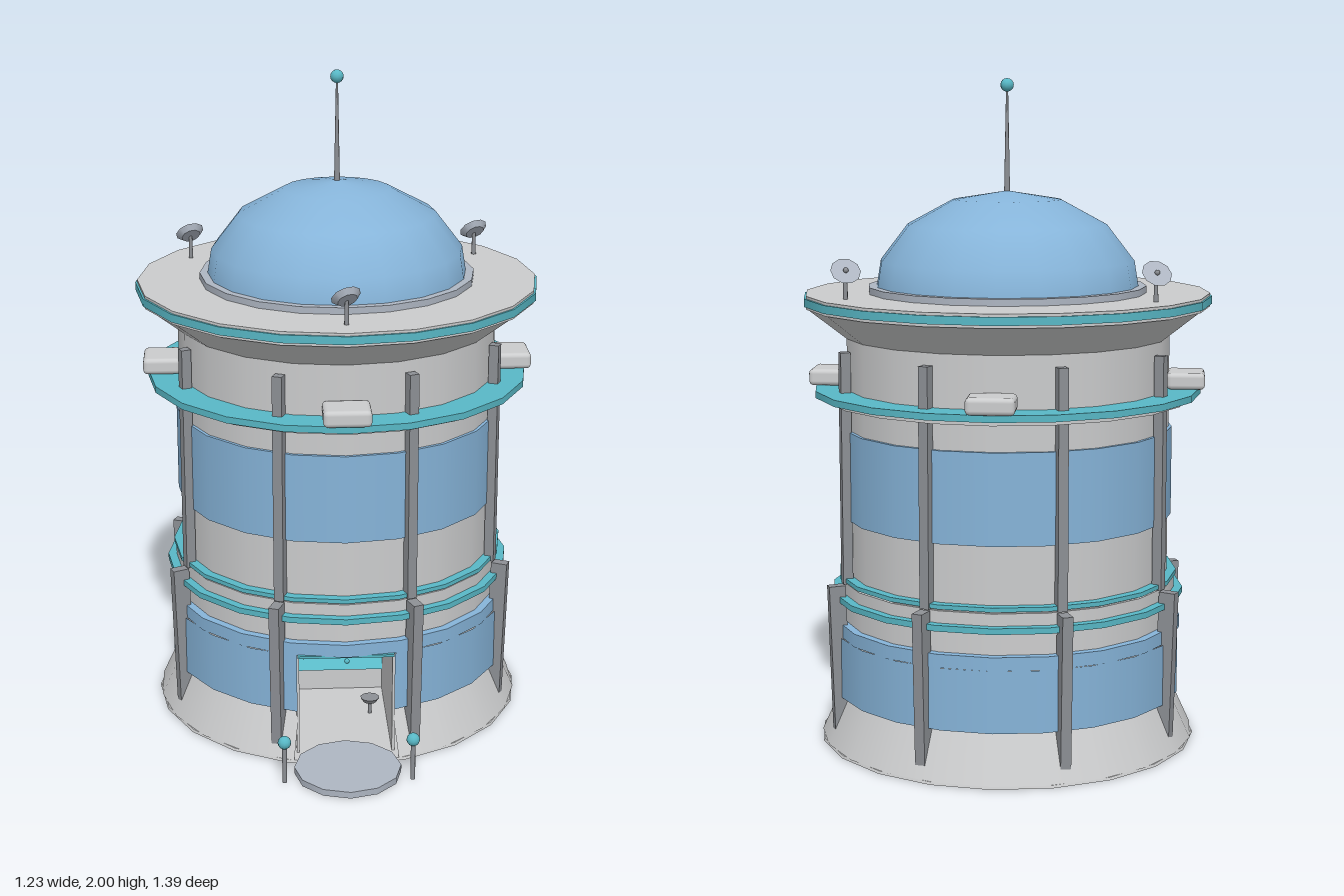
import * as THREE from 'three';
import { RoundedBoxGeometry } from 'three/addons/geometries/RoundedBoxGeometry.js';

const paint = (name, color, side = THREE.FrontSide) => {
  const m = new THREE.MeshStandardMaterial({ color, side });
  m.name = name;
  return m;
};

export function createModel() {
  const shell = paint('light grey shell', 0xcbcccd, THREE.DoubleSide);
  const blue = paint('blue glass', 0x86b4d9, THREE.DoubleSide);
  const teal = paint('teal trim', 0x58b8c6);
  const cyan = paint('bright cyan', 0x6cdcec);
  const metal = paint('dark metal', 0x8d9095);
  const slate = paint('pale slate', 0xaeb6c2);

  const model = new THREE.Group();
  model.name = 'domedTower';
  const tower = new THREE.Group();
  tower.name = 'tower';
  tower.position.z = -0.08;
  model.add(tower);

  const add = (parent, name, geometry, material, x = 0, y = 0, z = 0) => {
    const mesh = new THREE.Mesh(geometry, material);
    mesh.name = name;
    mesh.position.set(x, y, z);
    parent.add(mesh);
    return mesh;
  };
  // Round tier from y0 to y1; a gap leaves the doorway open at the front
  const tier = (name, y0, y1, r0, r1, material, gap = 0) =>
    add(tower, name, new THREE.CylinderGeometry(r1, r0, y1 - y0, 20, 1, gap > 0, gap, Math.PI * 2 - 2 * gap),
      material, 0, (y0 + y1) / 2, 0);
  // Place a child on a pivot turned about the tower axis
  const pivot = (name, angle) => {
    const g = new THREE.Group();
    g.name = name;
    g.rotation.y = angle;
    tower.add(g);
    return g;
  };

  // Walls, with the doorway cut through the lower part
  const door = 0.28, doorTop = 0.335;
  tier('baseDisc', 0, 0.008, 0.575, 0.572, shell);
  tier('flaredFoot', 0.008, 0.15, 0.572, 0.507, shell, door);
  tier('doorwayWall', 0.15, doorTop, 0.507, 0.506, shell, door);
  tier('lowerWall', doorTop, 0.5, 0.506, 0.503, shell);
  tier('upperWall', 0.5, 1.24, 0.49, 0.49, shell);

  // Window bands
  tier('lowerWindowBand', 0.15, doorTop, 0.53, 0.53, blue, door);
  tier('lowerWindowHead', doorTop, 0.375, 0.53, 0.53, blue);
  tier('upperWindowBand', 0.69, 0.96, 0.5, 0.5, blue);

  // Trim rings
  tier('lowerTrimRing', 0.444, 0.462, 0.538, 0.538, teal);
  tier('ledgeRing', 0.462, 0.498, 0.512, 0.512, shell);
  tier('ledgeTrimRing', 0.504, 0.517, 0.518, 0.518, teal);
  tier('walkwayUnderside', 1.045, 1.06, 0.55, 0.55, shell);
  tier('walkwayRing', 1.06, 1.08, 0.585, 0.585, teal);

  // Flared roof deck
  tier('roofFlare', 1.235, 1.325, 0.49, 0.605, shell);
  tier('roofDeck', 1.325, 1.365, 0.61, 0.61, shell);
  tier('roofTrim', 1.333, 1.357, 0.616, 0.616, teal);
  tier('domeCollar', 1.365, 1.385, 0.42, 0.42, slate);

  // Dome and mast
  const domeProfile = [[0.396, 0], [0.383, 0.08], [0.3, 0.188], [0.163, 0.262], [0, 0.288]]
    .map(([r, y]) => new THREE.Vector2(r, y));
  add(tower, 'dome', new THREE.LatheGeometry(domeProfile, 20), blue, 0, 1.38, 0);
  add(tower, 'mast', new THREE.CylinderGeometry(0.003, 0.009, 0.32, 8), metal, 0, 1.815, 0);
  add(tower, 'mastBeacon', new THREE.SphereGeometry(0.02, 12, 8), teal, 0, 1.98, 0);

  // Eight ribs around the walls
  for (let i = 0; i < 8; i++) {
    const p = pivot('rib', (i + 0.5) * Math.PI / 4);
    add(p, 'upperRib', new THREE.BoxGeometry(0.03, 0.7, 0.03), metal, 0, 0.85, 0.505);
    const fin = add(p, 'lowerFin', new THREE.BoxGeometry(0.032, 0.455, 0.05), metal, 0, 0.268, 0.532);
    fin.rotation.x = 0.03;
  }

  // Four lamp pods on the walkway
  for (let i = 0; i < 4; i++) {
    const p = pivot('podMount', i * Math.PI / 2);
    add(p, 'lampPod', new RoundedBoxGeometry(0.14, 0.05, 0.115, 2, 0.014), shell, 0, 1.105, 0.54);
  }

  // Three roof dishes, all aimed the same way
  const aim = new THREE.Vector3(-0.28, 0.65, -0.7).normalize();
  for (let i = 0; i < 3; i++) {
    const a = i * Math.PI * 2 / 3, x = Math.sin(a) * 0.52, z = Math.cos(a) * 0.52;
    add(tower, 'dishPost', new THREE.CylinderGeometry(0.006, 0.008, 0.075, 6), metal, x, 1.4, z);
    const dish = add(tower, 'dish', new THREE.CylinderGeometry(0.045, 0.03, 0.016, 10), slate, x, 1.442, z);
    dish.quaternion.setFromUnitVectors(new THREE.Vector3(0, 1, 0), aim);
    const hub = add(tower, 'dishHub', new THREE.SphereGeometry(0.008, 8, 6), metal);
    hub.position.copy(dish.position).addScaledVector(aim, 0.012);
  }

  // Entrance room
  add(tower, 'roomBack', new THREE.BoxGeometry(0.29, 0.33, 0.01), shell, 0, 0.17, 0.07);
  for (const s of [-1, 1])
    add(tower, 'roomSide', new THREE.BoxGeometry(0.008, 0.327, 0.43), shell, s * 0.144, 0.171, 0.285);
  add(tower, 'roomScreen', new THREE.BoxGeometry(0.28, 0.115, 0.008), teal, 0, 0.275, 0.08);
  add(tower, 'lightStrip', new THREE.BoxGeometry(0.28, 0.045, 0.008), cyan, 0, 0.1, 0.08);
  for (const x of [-0.115, 0, 0.115]) {
    add(tower, 'roomPod', new THREE.SphereGeometry(0.018, 8, 6), teal, x, 0.18, 0.16);
    add(tower, 'roomPodStem', new THREE.CylinderGeometry(0.006, 0.006, 0.06, 6), metal, x, 0.18, 0.145);
  }
  add(tower, 'stool', new THREE.CylinderGeometry(0.03, 0.02, 0.015, 10), metal, 0.09, 0.055, 0.25);
  add(tower, 'stoolStem', new THREE.CylinderGeometry(0.006, 0.006, 0.05, 6), metal, 0.09, 0.03, 0.25);
  add(tower, 'doorHeader', new THREE.BoxGeometry(0.29, 0.008, 0.06), teal, 0, 0.333, 0.49);
  add(tower, 'doorLamp', new THREE.SphereGeometry(0.008, 8, 6), teal, 0, 0.336, 0.555);

  // Landing step and its two bollards
  add(model, 'landingStep', new THREE.CylinderGeometry(0.16, 0.16, 0.02, 12), slate, 0, 0.01, 0.533);
  for (const s of [-1, 1]) {
    add(model, 'bollardPost', new THREE.CylinderGeometry(0.007, 0.007, 0.12, 8), metal, s * 0.19, 0.06, 0.585);
    add(model, 'bollardLight', new THREE.SphereGeometry(0.02, 12, 8), teal, s * 0.19, 0.13, 0.585);
  }
  return model;
}
